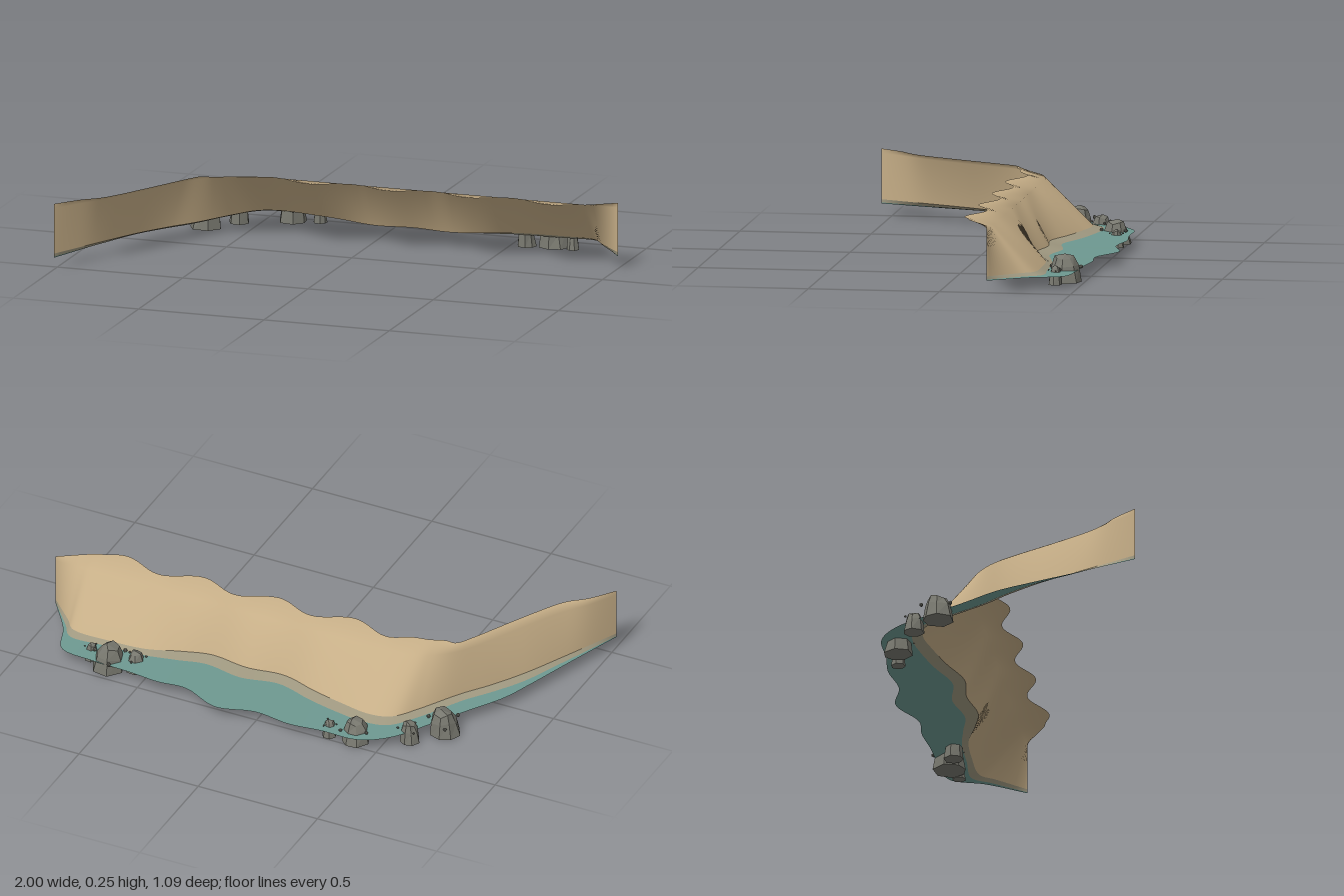
import * as THREE from 'three';

const material = (name, color, side = THREE.FrontSide) => {
  const m = new THREE.MeshStandardMaterial({ color, side });
  m.name = name;
  return m;
};

// Plan curve through [x, z] points; every rail has the same station count
const rail = (points) => new THREE.CatmullRomCurve3(
  points.map(([x, z]) => new THREE.Vector3(x, 0, z)), false, 'catmullrom', 0.5);

const END_A = [-1, 0.54], END_B = [1, -0.18];
const XS = [-0.28, -0.15, 0, 0.15, 0.3, 0.42, 0.55, 0.7, 0.84, 0.9];
const makeRail = (bend, zs) => rail([END_A, ...bend, ...XS.map((x, i) => [x, zs[i]]), END_B]);

const rails = {
  top: makeRail(
    [[-0.93, 0.45], [-0.85, 0.375], [-0.76, 0.22], [-0.66, 0.03], [-0.615, -0.04], [-0.57, -0.045], [-0.5, -0.07], [-0.4, -0.09]],
    [-0.088, -0.088, -0.088, -0.088, -0.088, -0.088, -0.09, -0.09, -0.085, -0.115]),
  crest: makeRail(
    [[-0.94, 0.44], [-0.865, 0.34], [-0.78, 0.19], [-0.69, 0.02], [-0.63, -0.07], [-0.56, -0.13], [-0.5, -0.16], [-0.4, -0.18]],
    [-0.18, -0.18, -0.18, -0.18, -0.18, -0.18, -0.18, -0.18, -0.18, -0.18]),
  foot: makeRail(
    [[-0.945, 0.425], [-0.885, 0.3], [-0.81, 0.15], [-0.73, 0.02], [-0.65, -0.09], [-0.56, -0.24], [-0.49, -0.335], [-0.4, -0.36]],
    [-0.34, -0.31, -0.265, -0.28, -0.26, -0.29, -0.335, -0.345, -0.34, -0.28]),
  waterline: makeRail(
    [[-0.95, 0.415], [-0.895, 0.285], [-0.825, 0.12], [-0.75, 0], [-0.67, -0.11], [-0.585, -0.26], [-0.5, -0.375], [-0.4, -0.4]],
    [-0.385, -0.355, -0.31, -0.335, -0.31, -0.335, -0.36, -0.365, -0.37, -0.3]),
  outer: makeRail(
    [[-0.955, 0.415], [-0.908, 0.28], [-0.85, 0.11], [-0.8, -0.02], [-0.72, -0.15], [-0.63, -0.3], [-0.54, -0.44], [-0.43, -0.515]],
    [-0.52, -0.533, -0.515, -0.55, -0.487, -0.493, -0.48, -0.473, -0.45, -0.32]),
};

// Wavy cusps along the high edge, fading out toward both ends
const scallop = (x) => 0.027 * Math.cos((x - 0.12) * 2 * Math.PI / 0.317)
  * THREE.MathUtils.smoothstep(x, -0.52, -0.36) * (1 - THREE.MathUtils.smoothstep(x, 0.78, 0.9));

// Sheet lofted across a list of [rail, height] rows
function loft(rows, steps = 190) {
  const pos = [], index = [];
  for (const [name, y] of rows) {
    for (let i = 0; i <= steps; i++) {
      const p = rails[name].getPoint(i / steps);
      pos.push(p.x, y, p.z + (name === 'top' ? scallop(p.x) : 0));
    }
  }
  const n = steps + 1;
  for (let r = 0; r < rows.length - 1; r++) {
    for (let i = 0; i < steps; i++) {
      const a = r * n + i, b = a + n;
      index.push(a, a + 1, b, a + 1, b + 1, b);
    }
  }
  const g = new THREE.BufferGeometry();
  g.setAttribute('position', new THREE.Float32BufferAttribute(pos, 3));
  g.setIndex(index);
  g.computeVertexNormals();
  return g;
}

// Faceted boulder: wide base, sloping sides, uneven blunt crown
function boulder(r, h, seed) {
  const sides = 7, pos = [], index = [];
  const rings = [[1.08, 0], [0.88, 0.55], [0.62, 0.86]];
  const wobble = (k) => 0.5 + 0.5 * Math.sin(seed * 12.9 + k * 7.3);
  rings.forEach(([s, y], j) => {
    for (let i = 0; i < sides; i++) {
      const a = (i + 0.3 * wobble(i)) / sides * Math.PI * 2 + seed;
      const d = r * s * (0.86 + 0.22 * wobble(i + j));
      const lift = j ? 0.12 * (wobble(i * 2 + j) - 0.5) : 0;
      pos.push(d * Math.cos(a), h * (y + lift), d * Math.sin(a));
    }
  });
  pos.push(r * 0.15, h, -r * 0.1, 0, 0, 0);
  const apex = rings.length * sides;
  for (let i = 0; i < sides; i++) {
    const k = (i + 1) % sides;
    for (let j = 0; j < rings.length - 1; j++) {
      const a = j * sides + i, b = j * sides + k;
      index.push(a, a + sides, b, b, a + sides, b + sides);
    }
    const top = (rings.length - 1) * sides;
    index.push(top + i, apex, top + k, i, k, apex + 1);
  }
  const g = new THREE.BufferGeometry();
  g.setAttribute('position', new THREE.Float32BufferAttribute(pos, 3));
  g.setIndex(index);
  const flat = g.toNonIndexed();
  flat.computeVertexNormals();
  return flat;
}

export function createModel() {
  const group = new THREE.Group();
  const sand = material('sand', 0xc6ae87, THREE.DoubleSide);
  const wetSand = material('wet sand', 0x9f9880, THREE.DoubleSide);
  const water = material('shallow water', 0x6d9890, THREE.DoubleSide);
  const stone = material('stone', 0x77776e);
  stone.flatShading = true;

  const add = (name, geometry, mat, parent = group) => {
    const mesh = new THREE.Mesh(geometry, mat);
    mesh.name = name;
    parent.add(mesh);
    return mesh;
  };

  // Beach slope, damp shore band and flat water
  add('beachSlope', loft([['top', 0.255], ['crest', 0.236], ['foot', 0.062]]), sand);
  add('wetShore', loft([['foot', 0.062], ['waterline', 0.05]]), wetSand);
  add('waterStrip', loft([['waterline', 0.05], ['outer', 0.046]]), water);

  // Boulders standing in the shallows: x, z, radius, height
  const rocks = new THREE.Group();
  rocks.name = 'rocks';
  group.add(rocks);
  [
    [-0.67, -0.265, 0.058, 0.105], [-0.575, -0.37, 0.038, 0.085],
    [-0.39, -0.455, 0.052, 0.095], [-0.29, -0.47, 0.026, 0.07],
    [0.56, -0.39, 0.036, 0.085], [0.655, -0.42, 0.06, 0.108], [0.74, -0.4, 0.024, 0.075],
  ].forEach(([x, z, r, h], i) => {
    add('boulder', boulder(r, h, i + 1), stone, rocks).position.set(x, 0, z);
    // Small chips beside each boulder
    for (let k = 0; k < 3; k++) {
      const a = i * 1.7 + k * 2.1;
      const chip = add('pebble', new THREE.IcosahedronGeometry(r * 0.14, 0), stone, rocks);
      chip.position.set(x + Math.cos(a) * r * 1.1, 0.055, z + Math.sin(a) * r * 1.1);
    }
  });
  return group;
}
